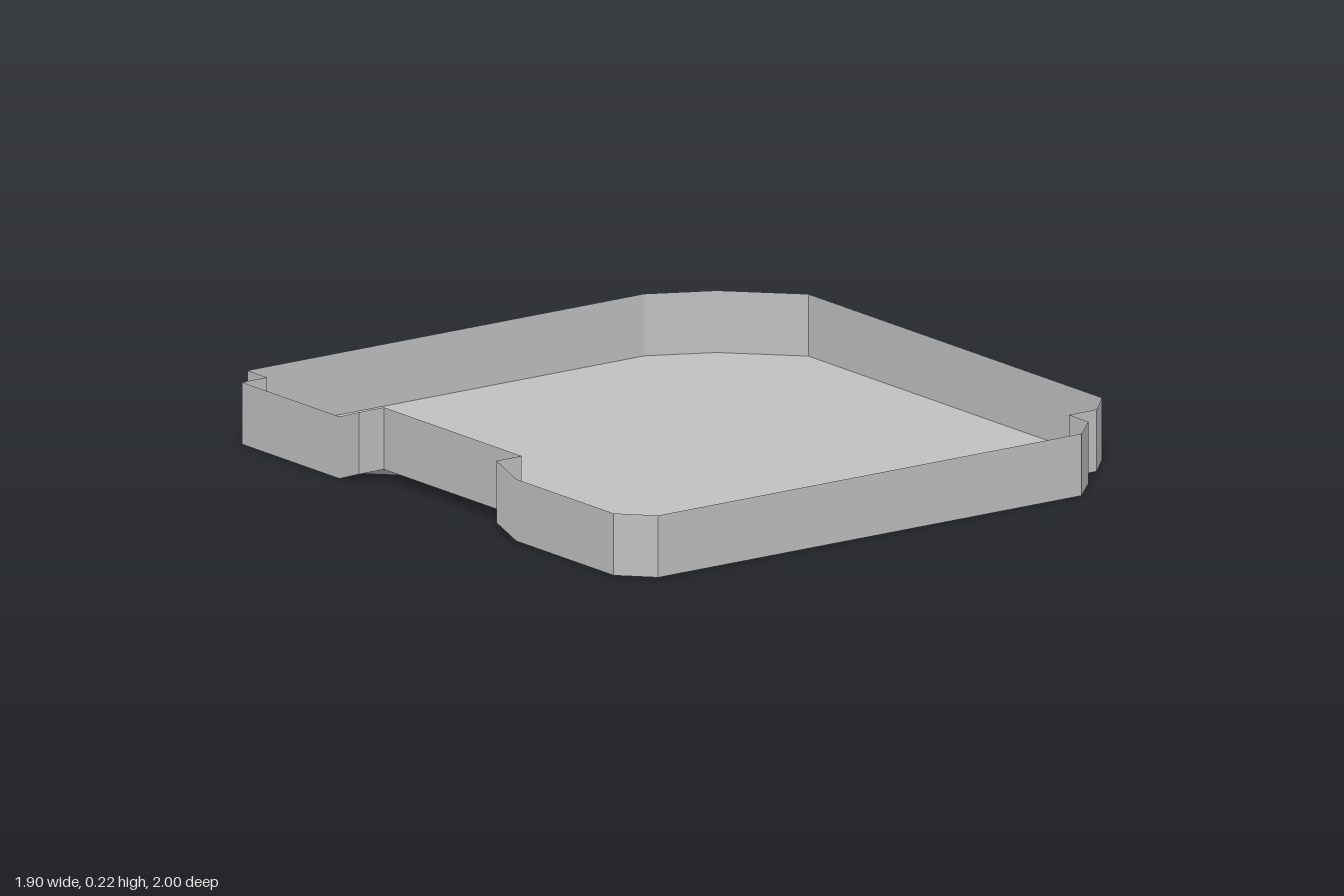
import * as THREE from 'three';

const WALL = 0.186, LIFT = 0.034;

// Outline of the tray as [x, z, base height], clockwise seen from above
const outline = [
  [-0.86, -1, 0], [0.57, -1, 0], [0.76, -0.905, 0], [0.95, -0.715, 0],
  [0.95, 0.715, 0], [0.86, 0.81, 0], [0.76, 0.81, 0], [0.76, 0.905, 0], [0.665, 1, 0],
  [-0.86, 1, 0], [-0.95, 0.905, 0], [-0.95, 0.43, 0],
  [-0.95, 0.335, LIFT], [-0.86, 0.335, LIFT], [-0.86, -0.335, LIFT], [-0.95, -0.335, LIFT],
  [-0.95, -0.43, 0], [-0.95, -0.905, 0], [-0.86, -0.905, 0],
];

// Mesh from flat polygons (fans of [x, y, z] corners)
function polyMesh(name, polys, material) {
  const pos = [];
  for (const p of polys)
    for (let i = 1; i < p.length - 1; i++) pos.push(...p[0], ...p[i], ...p[i + 1]);
  const g = new THREE.BufferGeometry();
  g.setAttribute('position', new THREE.Float32BufferAttribute(pos, 3));
  g.computeVertexNormals();
  const mesh = new THREE.Mesh(g, material);
  mesh.name = name;
  return mesh;
}

export function createModel() {
  const group = new THREE.Group();
  group.name = 'tray';
  const grey = new THREE.MeshStandardMaterial({ color: 0xc0c0c0, side: THREE.DoubleSide });
  grey.name = 'grey';

  // Thin upright wall following the outline, raised around the side notch
  const walls = outline.map(([x, z, y], i) => {
    const [x2, z2, y2] = outline[(i + 1) % outline.length];
    return [[x, y, z], [x, y + WALL, z], [x2, y2 + WALL, z2], [x2, y2, z2]];
  });
  group.add(polyMesh('wall', walls, grey));

  // Flat floor, cut back where the ramps around the notch begin
  const cut = [[-0.86, 0.43], [-0.765, 0.335], [-0.765, -0.335], [-0.86, -0.43]];
  const edge = [...outline.slice(0, 12), ...cut, ...outline.slice(16)];
  const shape = new THREE.Shape(edge.map(([x, z]) => new THREE.Vector2(x, -z)));
  const floor = new THREE.Mesh(new THREE.ShapeGeometry(shape).rotateX(-Math.PI / 2), grey);
  floor.name = 'floor';
  group.add(floor);

  // Ramps rising from the floor to the notch
  const ramps = [[[-0.765, 0, 0.335], [-0.765, 0, -0.335], [-0.86, LIFT, -0.335], [-0.86, LIFT, 0.335]]];
  for (const s of [1, -1]) {
    const pair = [
      [[-0.95, 0, 0.43 * s], [-0.86, 0, 0.43 * s], [-0.86, LIFT, 0.335 * s], [-0.95, LIFT, 0.335 * s]],
      [[-0.86, 0, 0.43 * s], [-0.765, 0, 0.335 * s], [-0.86, LIFT, 0.335 * s]],
    ];
    ramps.push(...(s > 0 ? pair : pair.map((p) => p.reverse())));
  }
  group.add(polyMesh('notchRamps', ramps, grey));
  return group;
}
